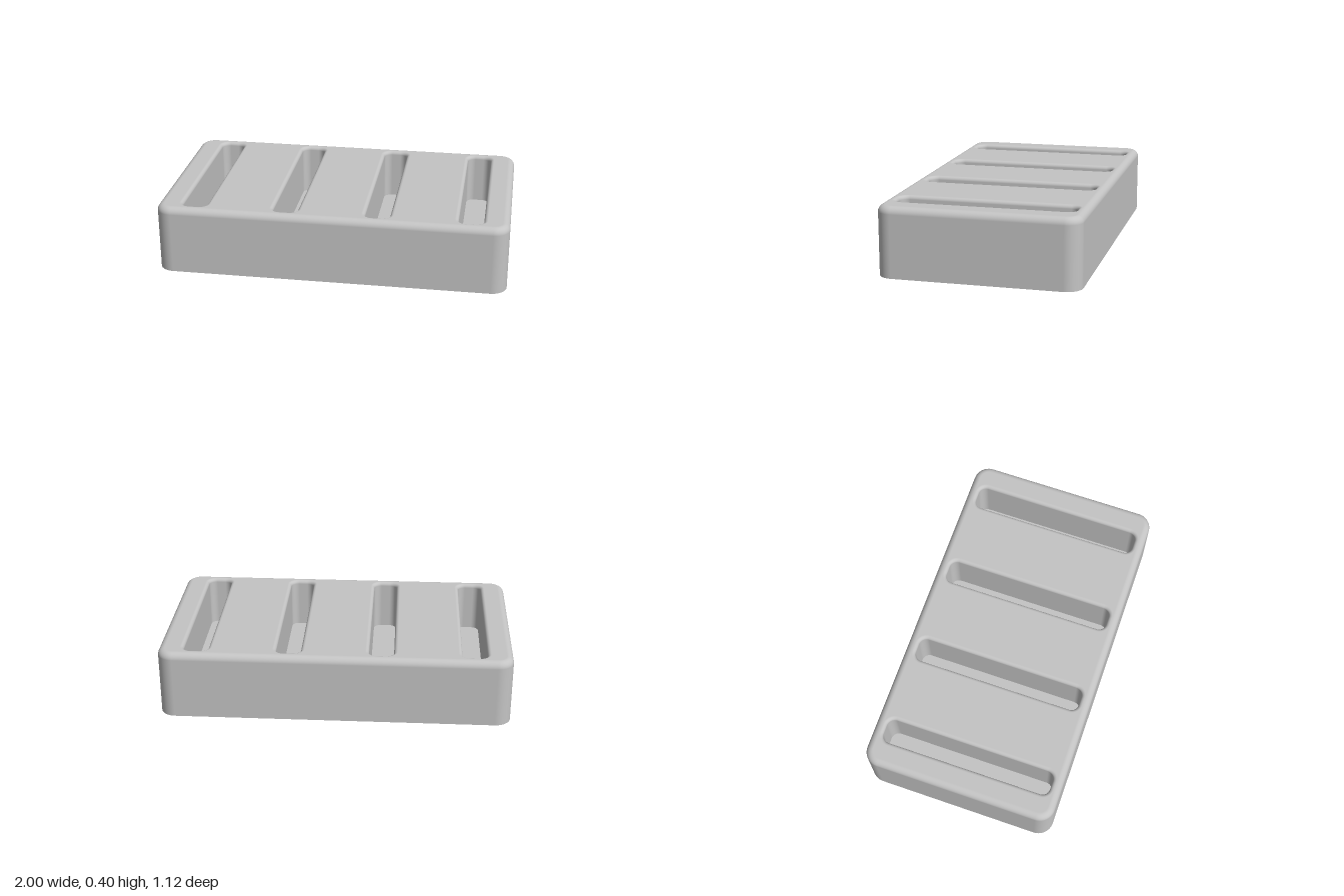
import * as THREE from 'three';

const HEIGHT = 0.395;
const OUTER = { hw: 1, hd: 0.5625, r: 0.09, fillet: 0.04 };
const SLOT = { hw: 0.07, hd: 0.5, r: 0.045, fillet: 0.021, floor: 0.1 };
const SLOT_X = [-0.785, -0.262, 0.262, 0.785];
const CORNER_STEPS = 10;
const FILLET_STEPS = 8;

// Rounded rectangle as points with their outward directions, grown by an offset
function outline({ hw, hd, r }, offset = 0) {
  const points = [];
  for (let q = 0; q < 4; q++) {
    const sx = q === 0 || q === 3 ? 1 : -1;
    const sz = q < 2 ? 1 : -1;
    for (let i = 0; i <= CORNER_STEPS; i++) {
      const a = (q + i / CORNER_STEPS) * Math.PI / 2;
      const dx = Math.cos(a), dz = Math.sin(a);
      points.push({
        x: sx * (hw - r) + (r + offset) * dx,
        z: sz * (hd - r) + (r + offset) * dz,
        dx, dz,
      });
    }
  }
  return points;
}

// Sweeps a profile of [offset, y, normal outward, normal up] around the outline
function skin(rect, profile) {
  const position = [], normal = [], index = [];
  const n = 4 * (CORNER_STEPS + 1);
  profile.forEach(([offset, y, out, up], j) => {
    outline(rect, offset).forEach((p, i) => {
      position.push(p.x, y, p.z);
      normal.push(p.dx * out, up, p.dz * out);
      if (j === profile.length - 1) return;
      const a = j * n + i, b = j * n + (i + 1) % n;
      index.push(a, a + n, b, b, a + n, b + n);
    });
  });
  const geometry = new THREE.BufferGeometry();
  geometry.setAttribute('position', new THREE.Float32BufferAttribute(position, 3));
  geometry.setAttribute('normal', new THREE.Float32BufferAttribute(normal, 3));
  geometry.setIndex(index);
  return geometry;
}

const toPoints = (rect, offset, x = 0) =>
  outline(rect, offset).map((p) => new THREE.Vector2(p.x + x, p.z));

// Flat horizontal face, facing up or down
function face(points, y, holes = [], up = true) {
  const shape = new THREE.Shape(points);
  shape.holes = holes.map((h) => new THREE.Path(h));
  return new THREE.ShapeGeometry(shape).rotateX(up ? -Math.PI / 2 : Math.PI / 2).translate(0, y, 0);
}

export function createModel() {
  const model = new THREE.Group();
  model.name = 'slottedBlock';
  const grey = new THREE.MeshStandardMaterial({ color: 0xc4c4c4 });
  grey.name = 'plain grey';

  const add = (parent, name, geometry) => {
    const mesh = new THREE.Mesh(geometry, grey);
    mesh.name = name;
    parent.add(mesh);
  };

  // Outer walls with a rounded top edge
  const wall = [[0, 0, 1, 0]];
  for (let i = 0; i <= FILLET_STEPS; i++) {
    const a = i / FILLET_STEPS * Math.PI / 2, f = OUTER.fillet;
    wall.push([f * (Math.cos(a) - 1), HEIGHT + f * (Math.sin(a) - 1), Math.cos(a), Math.sin(a)]);
  }
  add(model, 'outerWall', skin(OUTER, wall));
  add(model, 'base', face(toPoints(OUTER, 0), 0, [], false));

  // Top face, open over each slot
  const holes = SLOT_X.map((x) => toPoints(SLOT, SLOT.fillet, x));
  add(model, 'topFace', face(toPoints(OUTER, -OUTER.fillet), HEIGHT, holes));

  // Slots with a rounded rim, straight walls and a flat floor
  const rim = [];
  for (let i = 0; i <= FILLET_STEPS; i++) {
    const a = i / FILLET_STEPS * Math.PI / 2, f = SLOT.fillet;
    rim.push([f * (1 - Math.sin(a)), HEIGHT + f * (Math.cos(a) - 1), -Math.sin(a), Math.cos(a)]);
  }
  rim.push([0, SLOT.floor, -1, 0]);
  const slotWall = skin(SLOT, rim);
  const slotFloor = face(toPoints(SLOT, 0), SLOT.floor);
  SLOT_X.forEach((x, i) => {
    const slot = new THREE.Group();
    slot.name = `slot${i + 1}`;
    slot.position.x = x;
    add(slot, 'slotWall', slotWall);
    add(slot, 'slotFloor', slotFloor);
    model.add(slot);
  });

  return model;
}
